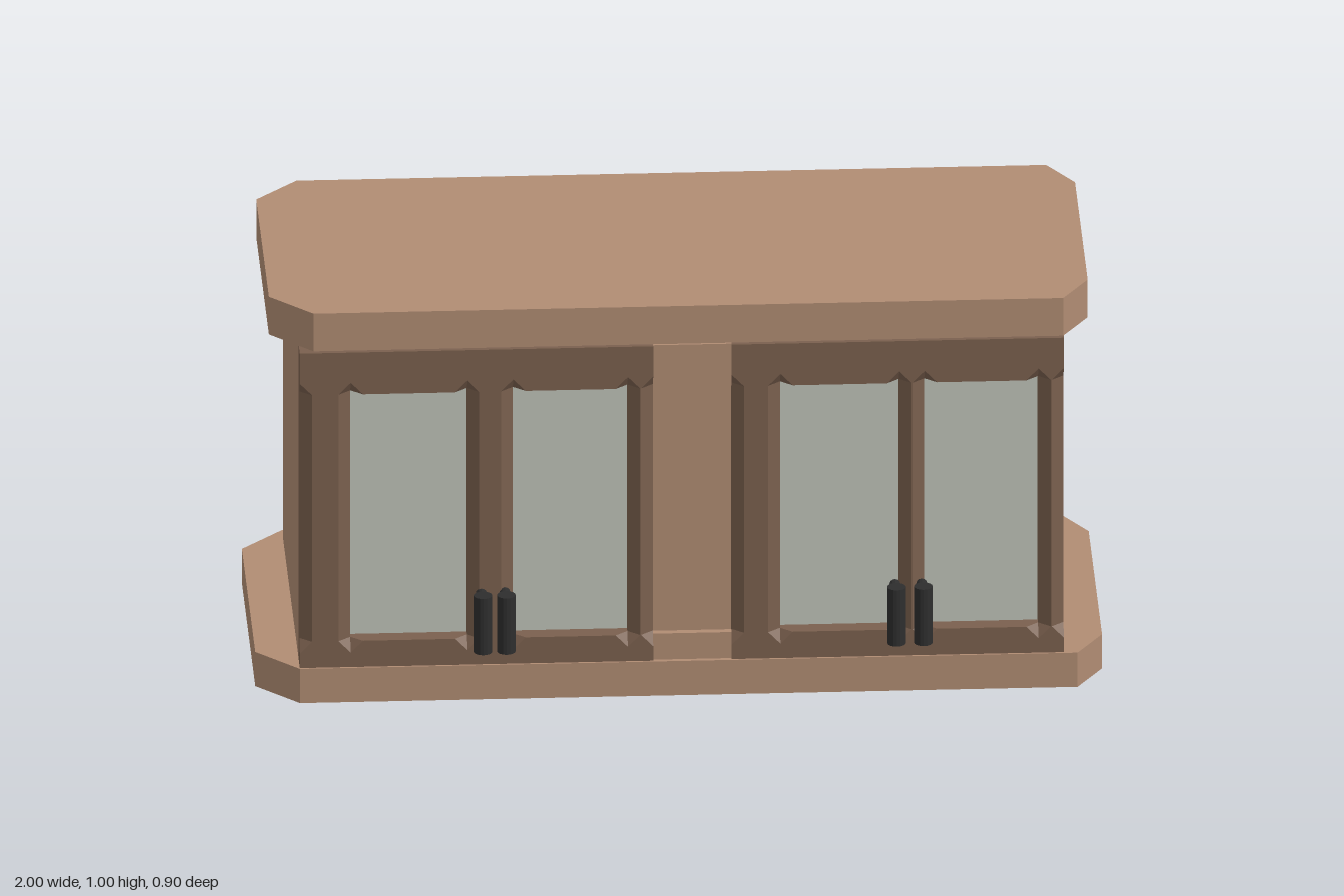
import * as THREE from 'three';

const mat = (color) => new THREE.MeshStandardMaterial({ color, flatShading: true, side: THREE.DoubleSide });

export function createModel() {
  const root = new THREE.Group();
  const wood = mat(0xb08c73), dark = mat(0x7a604e), glass = mat(0xbec2b8), metal = mat(0x2e2e2e);

  const add = (parent, name, geo, material) => {
    const m = new THREE.Mesh(geo, material);
    m.name = name;
    parent.add(m);
    return m;
  };
  const box = (parent, name, x0, x1, y0, y1, z0, z1, material) =>
    add(parent, name, new THREE.BoxGeometry(x1 - x0, y1 - y0, z1 - z0), material)
      .position.set((x0 + x1) / 2, (y0 + y1) / 2, (z0 + z1) / 2);

  // Extrudes an (x, z) outline upward from y0 to y1
  const prism = (outline, y0, y1) => {
    const shape = new THREE.Shape(outline.map(([x, z]) => new THREE.Vector2(x, -z)));
    const geo = new THREE.ExtrudeGeometry(shape, { depth: y1 - y0, bevelEnabled: false });
    return geo.rotateX(-Math.PI / 2).translate(0, y0, 0);
  };

  // Plinth and top: slabs with clipped corners
  const slab = (name, hx, zb, zf, y0, y1) => {
    const l = -hx + 0.1, r = hx - 0.063, d = 0.105;
    add(root, name, prism([
      [l, zf], [r, zf], [hx, zf - d], [hx, zb + d],
      [r, zb], [l, zb], [-hx, zb + d], [-hx, zf - d],
    ], y0, y1), wood);
  };
  slab('plinth', 1, -0.45, 0.365, 0, 0.088);
  slab('top', 0.967, -0.433, 0.348, 0.898, 0.995);

  // Carcass
  box(root, 'carcass', -0.9, 0.903, 0.088, 0.898, -0.395, 0.312, wood);

  // Front frame with stopped chamfers on every stile edge
  const back = 0.31, deep = 0.335, face = 0.36, c = 0.029;
  const low = 0.155, high = 0.79;

  // Rail whose inner edge is notched where each chamfer runs out to a point
  const rail = (group, name, xs, inner, outer) => {
    const tip = inner + Math.sign(outer - inner) * 0.03;
    const first = xs[0], last = xs[xs.length - 1];
    const outline = [[first, outer]], tris = [];
    xs.forEach((x) => {
      const sides = [-1, 1].filter((s) => !(x === first && s < 0) && !(x === last && s > 0));
      if (sides.includes(-1)) outline.push([x - c, inner]);
      outline.push([x, tip]);
      if (sides.includes(1)) outline.push([x + c, inner]);
      // Sloped facet and underside on each side of the notch
      sides.forEach((s) => tris.push(
        [x + s * c, inner, face], [x, tip, face], [x, inner, deep],
        [x + s * c, inner, face], [x, inner, deep], [x + s * c, inner, deep]));
      // End cap where a notch meets the outer edge
      if (sides.length === 1) tris.push([x, tip, face], [x, inner, deep], [x, tip, deep]);
    });
    outline.push([last, outer]);
    const shape = new THREE.Shape(outline.map(([x, y]) => new THREE.Vector2(x, y)));
    const front = new THREE.ExtrudeGeometry(shape, { depth: face - deep, bevelEnabled: false });
    add(group, name, front.translate(0, 0, deep), dark);
    const facets = new THREE.BufferGeometry();
    facets.setAttribute('position', new THREE.Float32BufferAttribute(tris.flat(), 3));
    facets.computeVertexNormals();
    add(group, name + 'Chamfers', facets, dark);
    box(group, name + 'Back', first, last, Math.min(inner, outer), Math.max(inner, outer), back, deep, dark);
  };

  // xs: edges of three stiles, alternating stile and glass
  const doorPair = (name, xs, handles) => {
    const g = new THREE.Group();
    g.name = name;
    root.add(g);
    rail(g, 'topRail', xs, high, 0.898);
    rail(g, 'bottomRail', xs, low, 0.088);
    for (let i = 0; i < xs.length; i += 2) {
      const a = xs[i], b = xs[i + 1];
      add(g, 'stile', prism([
        [a, back], [a, deep], [a + c, face], [b - c, face], [b, deep], [b, back],
      ], low, high), dark);
      if (i + 2 < xs.length) box(g, 'glassPane', b, xs[i + 2], low, high, 0.3, 0.318, glass);
    }
    // Bar handles on two short posts
    handles.forEach((x) => {
      const h = new THREE.Group();
      h.name = 'handle';
      h.position.x = x;
      g.add(h);
      add(h, 'handleBar', new THREE.CylinderGeometry(0.022, 0.022, 0.145, 16), metal).position.set(0, 0.223, 0.428);
      [0.184, 0.27].forEach((y) => {
        const post = new THREE.CylinderGeometry(0.013, 0.013, 0.075, 12).rotateX(Math.PI / 2);
        add(h, 'handlePost', post, metal).position.set(0, y, 0.392);
      });
    });
  };
  doorPair('rightDoors', [-0.9, -0.78, -0.505, -0.395, -0.125, -0.065], [-0.47, -0.415]);
  doorPair('leftDoors', [0.12, 0.235, 0.515, 0.577, 0.845, 0.905], [0.505, 0.57]);

  // Centre panel between the door pairs
  box(root, 'centrePanel', -0.065, 0.12, low, high, back, 0.337, wood);
  box(root, 'centreTopBlock', -0.065, 0.12, high, 0.898, back, 0.354, wood);
  box(root, 'centreBottomBlock', -0.065, 0.12, 0.088, low, back, 0.354, wood);

  return root;
}
